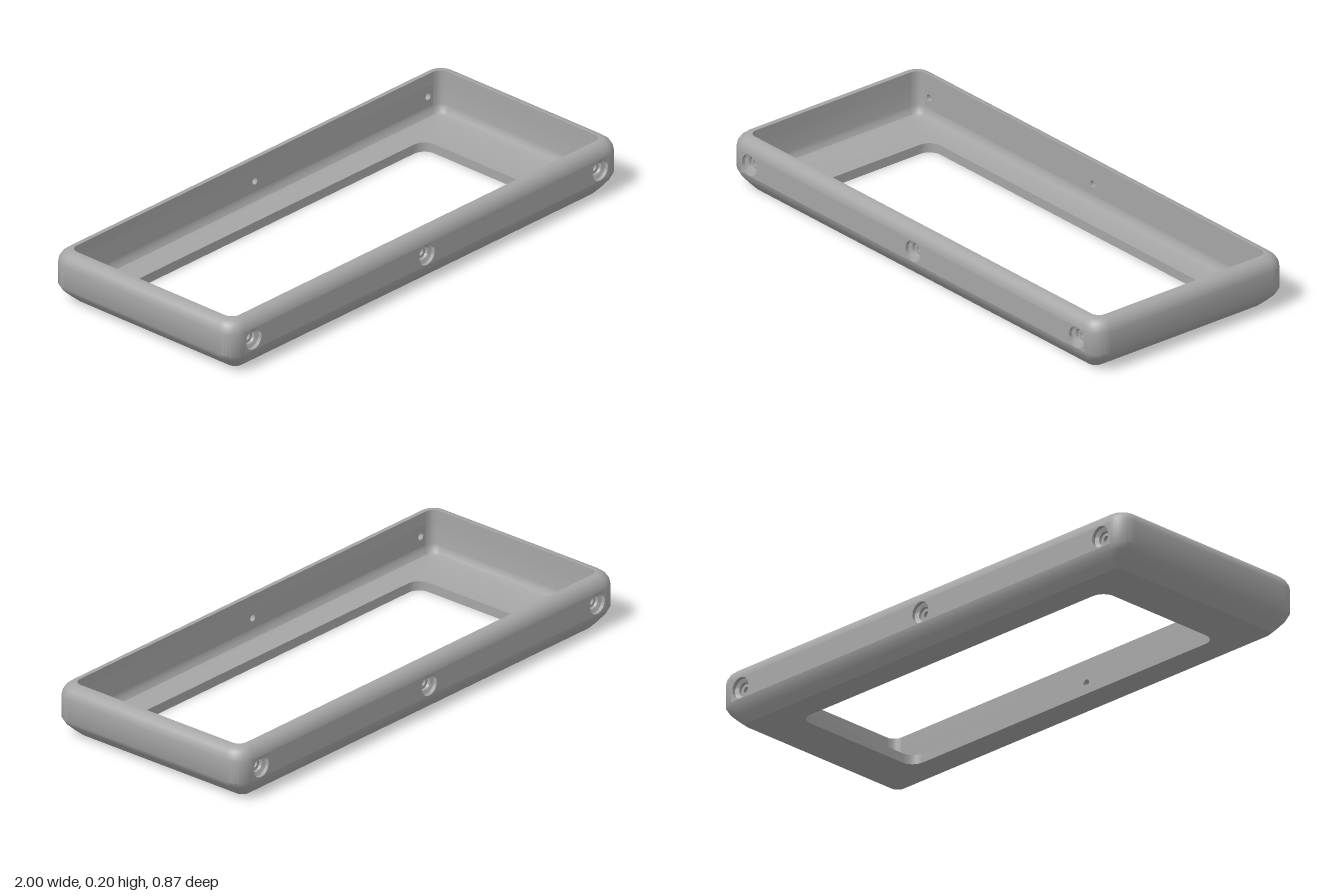
import * as THREE from 'three';
import { toCreasedNormals } from 'three/addons/utils/BufferGeometryUtils.js';

const N = 8; // segments per rounded corner
const BAND_LOW = 0.073, BAND_HIGH = 0.157, HOLE_Y = 0.115;
const HOLE_X = [-0.89, 0, 0.89];
const OUTER_Z = 0.437, INNER_Z = 0.39, HEAD_R = 0.04, BORE_R = 0.013;

// Points of a rounded rectangle lying at height y
function ring([hx, hz, r, y]) {
  const pts = [];
  for (let k = 0; k < 4; k++) {
    const sx = k === 0 || k === 3 ? 1 : -1, sz = k < 2 ? 1 : -1;
    for (let i = 0; i <= N; i++) {
      const a = (k + i / N) * Math.PI / 2;
      pts.push([sx * (hx - r) + r * Math.cos(a), y, sz * (hz - r) + r * Math.sin(a)]);
    }
  }
  return pts;
}

// Closed loft through the rings; the long straight quads of the given bands stay open
function loft(rings, openBands) {
  const pos = rings.flatMap(r => ring(r).flat()), idx = [];
  const n = 4 * (N + 1);
  rings.forEach((_, j) => {
    const j2 = (j + 1) % rings.length;
    for (let i = 0; i < n; i++) {
      if (openBands.includes(j) && (i === N || i === 3 * N + 2)) continue;
      const i2 = (i + 1) % n;
      const a = j * n + i, b = j * n + i2, c = j2 * n + i, d = j2 * n + i2;
      idx.push(a, c, b, b, c, d);
    }
  });
  const g = new THREE.BufferGeometry();
  g.setAttribute('position', new THREE.Float32BufferAttribute(pos, 3));
  g.setIndex(idx);
  return toCreasedNormals(g, 0.6);
}

// Flat wall strip pierced by round holes
function piercedStrip(halfLength, radius) {
  const s = new THREE.Shape();
  s.moveTo(-halfLength, BAND_LOW).lineTo(halfLength, BAND_LOW);
  s.lineTo(halfLength, BAND_HIGH).lineTo(-halfLength, BAND_HIGH);
  for (const x of HOLE_X) {
    s.holes.push(new THREE.Path().absarc(x, HOLE_Y, radius, 0, Math.PI * 2, true));
  }
  return new THREE.ShapeGeometry(s, 16);
}

export function createModel() {
  const model = new THREE.Group();
  model.name = 'bezelFrame';
  const grey = new THREE.MeshStandardMaterial({ color: 0xa6a6a6 });
  grey.name = 'grey';
  const add = (parent, geometry, name) => {
    const m = new THREE.Mesh(geometry, grey);
    m.name = name;
    parent.add(m);
    return m;
  };

  // Frame section: half width, half depth, corner radius, height
  const section = [
    [0.75, 0.28, 0.05, 0],
    [0.93, 0.387, 0.03, 0],
    [0.962, 0.411, 0.045, 0.028],
    [0.985, 0.427, 0.057, 0.05],
    [1, OUTER_Z, 0.065, BAND_LOW],
    [1, OUTER_Z, 0.065, BAND_HIGH],
    [0.997, 0.434, 0.063, 0.173],
    [0.988, 0.425, 0.058, 0.189],
    [0.975, 0.412, 0.052, 0.2],
    [0.96, 0.398, 0.044, 0.204],
    [0.95, INNER_Z, 0.035, 0.204],
    [0.95, INNER_Z, 0.035, BAND_HIGH],
    [0.95, INNER_Z, 0.035, BAND_LOW],
    [0.947, 0.387, 0.033, 0.057],
    [0.938, 0.378, 0.03, 0.043],
    [0.92, 0.36, 0.025, 0.036],
    [0.75, 0.28, 0.05, 0.036],
  ];
  add(model, loft(section, [4, 11]), 'frame');

  // Countersunk screw recess running through the wall
  const depth = OUTER_Z - INNER_Z;
  const recess = toCreasedNormals(new THREE.LatheGeometry([
    [HEAD_R, 0], [HEAD_R, -0.014], [0.026, -0.02], [0.024, -0.03],
    [BORE_R, -0.03], [BORE_R, -depth],
  ].map(p => new THREE.Vector2(...p)), 32).rotateX(Math.PI / 2), 0.5);
  const outerStrip = piercedStrip(0.935, HEAD_R);
  const innerStrip = piercedStrip(0.915, BORE_R);

  // Front and back walls with their screw holes
  for (const name of ['front', 'back']) {
    const wall = new THREE.Group();
    wall.name = name + 'Wall';
    wall.rotation.y = name === 'front' ? 0 : Math.PI;
    add(wall, outerStrip, 'outerFace').position.z = OUTER_Z;
    const inner = add(wall, innerStrip, 'innerFace');
    inner.position.z = INNER_Z;
    inner.rotation.y = Math.PI;
    for (const x of HOLE_X) add(wall, recess, 'screwRecess').position.set(x, HOLE_Y, OUTER_Z);
    model.add(wall);
  }
  return model;
}
